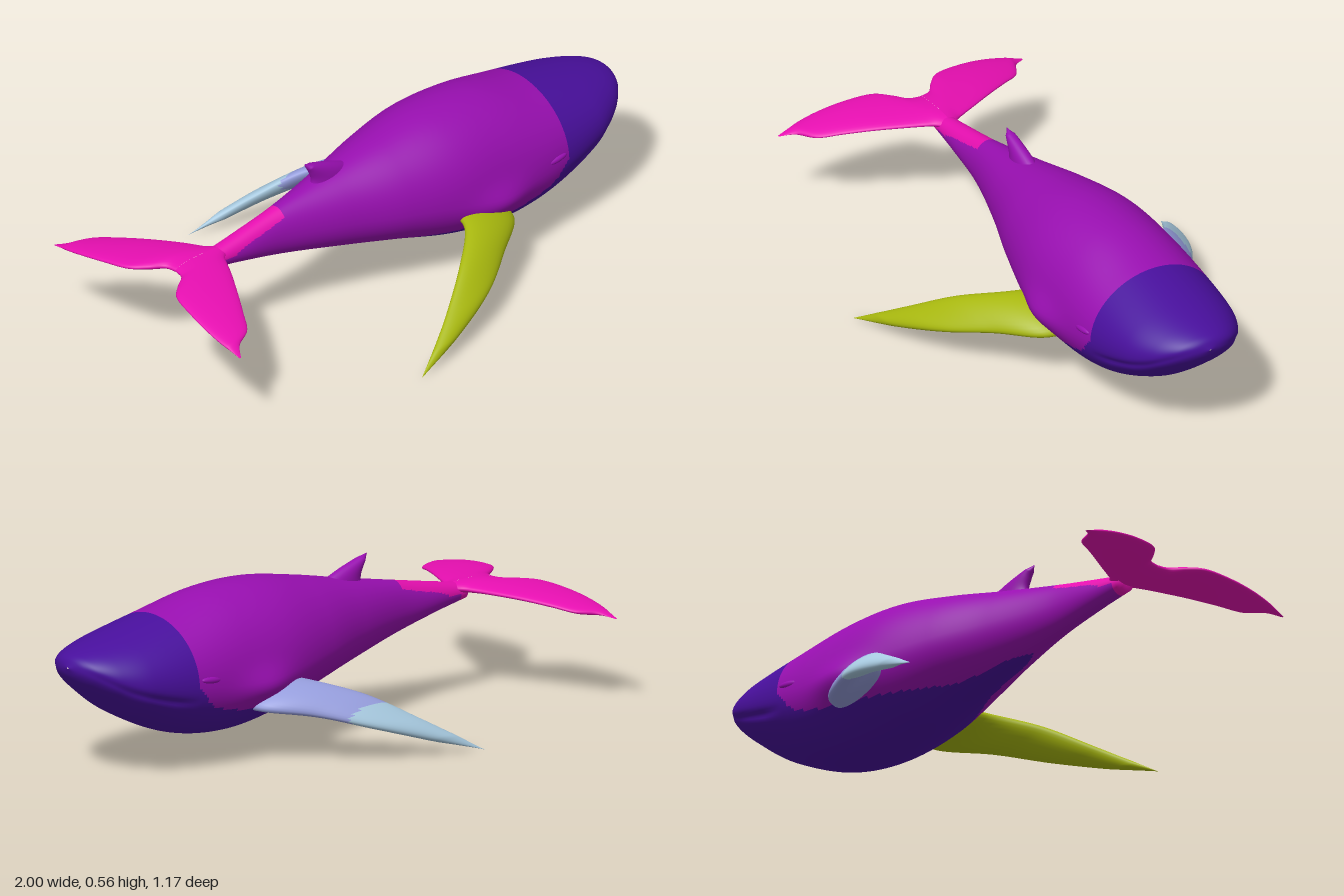
import * as THREE from 'three';

const paint = (name, color) => Object.assign(new THREE.MeshStandardMaterial({ color }), { name });
const V = (x, y, z) => new THREE.Vector3(x, y, z);

// Smooth interpolation through rows [x, a, b, ...]; returns [a, b, ...] at x
function sample(rows, x) {
  const n = rows.length;
  let i = 0;
  while (i < n - 2 && x > rows[i + 1][0]) i++;
  const p = rows[i], q = rows[i + 1], o = rows[Math.max(i - 1, 0)], r = rows[Math.min(i + 2, n - 1)];
  const h = q[0] - p[0], t = Math.min(Math.max((x - p[0]) / h, 0), 1);
  return p.slice(1).map((_, k) => {
    const c = k + 1;
    const m0 = (q[c] - o[c]) / (q[0] - o[0]) * h, m1 = (r[c] - p[c]) / (r[0] - p[0]) * h;
    const t2 = t * t, t3 = t2 * t;
    return (2 * t3 - 3 * t2 + 1) * p[c] + (t3 - 2 * t2 + t) * m0 + (3 * t2 - 2 * t3) * q[c] + (t3 - t2) * m1;
  });
}

// Skin closed rings; pick(centre) gives the material index of each quad
function loft(name, rings, materials, pick = () => 0) {
  const pts = rings.flat(), n = rings[0].length;
  const lists = materials.map(() => []);
  let volume = 0;
  for (let i = 0; i < rings.length - 1; i++) {
    for (let j = 0; j < n; j++) {
      const k = (j + 1) % n;
      const a = i * n + j, b = a + n, c = (i + 1) * n + k, d = i * n + k;
      const mid = V(0, 0, 0);
      for (const v of [a, b, c, d]) mid.addScaledVector(pts[v], 0.25);
      lists[pick(mid)].push(a, b, c, a, c, d);
      const axis = V(0, 0, 0);
      for (const v of rings[i]) axis.addScaledVector(v, 1 / n);
      volume += pts[c].clone().sub(pts[a]).cross(pts[d].clone().sub(pts[b])).dot(mid.sub(axis));
    }
  }
  const geo = new THREE.BufferGeometry().setFromPoints(pts);
  let start = 0;
  const index = [];
  lists.forEach((list, m) => {
    geo.addGroup(start, list.length, m);
    start += list.length;
    for (let t = 0; t < list.length; t += 3) {
      if (volume > 0) index.push(list[t], list[t + 1], list[t + 2]);
      else index.push(list[t], list[t + 2], list[t + 1]);
    }
  });
  geo.setIndex(index);
  geo.computeVertexNormals();
  const mesh = new THREE.Mesh(geo, materials);
  mesh.name = name;
  return mesh;
}

// Lens-shaped fin between a leading and a trailing edge
function fin(name, lead, trail, thick, materials, pick) {
  const L = new THREE.CatmullRomCurve3(lead), T = new THREE.CatmullRomCurve3(trail);
  const steps = 60, sides = 28, rings = [];
  const middle = u => L.getPoint(u).add(T.getPoint(u)).multiplyScalar(0.5);
  let normal = V(0, 1, 0);
  for (let i = 0; i <= steps; i++) {
    const u = i / steps, c = middle(u);
    const half = L.getPoint(u).sub(c);
    const span = middle(Math.min(u + 0.02, 1)).sub(middle(Math.max(u - 0.02, 0)));
    const cross = half.clone().cross(span);
    if (cross.length() > 1e-5) normal = cross.normalize();
    const t = thick * Math.sqrt(1 - u * 0.95) * Math.min(1, (1 - u) * 6);
    rings.push(Array.from({ length: sides }, (_, j) => {
      const a = j / sides * Math.PI * 2;
      return c.clone().addScaledVector(half, Math.cos(a)).addScaledVector(normal, t * Math.sin(a));
    }));
  }
  return loft(name, rings, materials, pick);
}

export function createModel() {
  const group = new THREE.Group();
  const purple = paint('purple', 0x980fb0), indigo = paint('indigo', 0x480f9c);
  const pink = paint('pink', 0xe80fb2), olive = paint('olive', 0xa8b80e);
  const lilac = paint('lilac', 0x959ddc), paleBlue = paint('pale blue', 0xa6c8de);

  // Body: x, top, bottom, height of widest point, half width
  const profile = [
    [-0.72, 0.38, 0.325, 0.352, 0.033],
    [-0.6, 0.403, 0.302, 0.352, 0.043],
    [-0.42, 0.44, 0.262, 0.345, 0.062],
    [-0.2, 0.486, 0.21, 0.335, 0.122],
    [0, 0.53, 0.165, 0.32, 0.19],
    [0.2, 0.563, 0.112, 0.3, 0.24],
    [0.4, 0.56, 0.083, 0.288, 0.25],
    [0.6, 0.52, 0.11, 0.3, 0.244],
    [0.8, 0.478, 0.2, 0.33, 0.212],
    [0.9, 0.455, 0.275, 0.355, 0.165],
    [0.96, 0.436, 0.328, 0.38, 0.11],
    [0.987, 0.42, 0.362, 0.39, 0.06],
    [1, 0.394, 0.39, 0.392, 0.004],
  ];
  const mouth = [[0.6, 0.25], [0.72, 0.27], [0.86, 0.315], [0.94, 0.36], [1, 0.4]];
  const gauss = v => Math.exp(-v * v);
  const rows = 160, sides = 120, rings = [];
  for (let i = 0; i <= rows; i++) {
    const x = -0.72 + 1.72 * (1 - Math.pow(1 - i / rows, 1.4));
    const [top, bottom, cy, w] = sample(profile, x);
    const [lip] = sample(mouth, x);
    const fade = Math.min(1, Math.max(0, (x - 0.62) / 0.1));
    rings.push(Array.from({ length: sides }, (_, j) => {
      const a = j / sides * Math.PI * 2, s = Math.sin(a), c = Math.cos(a);
      const y = cy + s * (s > 0 ? top - cy : cy - bottom);
      const groove = 1 - 0.035 * fade * gauss((y - lip) / 0.012);
      const shoulder = 0.03 * gauss((x - 0.34) / 0.11) * gauss((y - 0.265) / 0.06);
      return V(x, y, w * c * groove + Math.sign(c) * shoulder * Math.min(1, Math.abs(c) * 2));
    }));
  }
  // Close the tail end
  rings.unshift(rings[0].map(() => V(-0.72, 0.352, 0)));
  const belly = [[-0.45, 0.255], [-0.2, 0.218], [0, 0.185], [0.4, 0.195], [0.56, 0.23], [0.63, 0.3]];
  group.add(loft('body', rings, [purple, indigo, pink], p => {
    if (p.x > 0.63 || (p.x > -0.42 && p.y < sample(belly, p.x)[0])) return 1;
    if (p.x < -0.69 || (p.x < -0.42 && p.y > 0.352 && Math.abs(p.z) < 0.04)) return 2;
    return 0;
  }));

  // Dorsal fin
  group.add(fin('dorsalFin',
    [V(-0.08, 0.47, 0), V(-0.16, 0.507, 0), V(-0.24, 0.535, 0), V(-0.305, 0.553, 0)],
    [V(-0.29, 0.43, 0), V(-0.275, 0.475, 0), V(-0.285, 0.51, 0), V(-0.307, 0.55, 0)],
    0.034, [purple]));

  // Tail flukes: z, leading x, trailing x
  const fluke = [
    [0, -0.62, -0.865], [0.04, -0.685, -0.875], [0.075, -0.705, -0.92], [0.12, -0.728, -0.965],
    [0.22, -0.785, -0.99], [0.31, -0.838, -1], [0.38, -0.883, -1], [0.42, -0.95, -0.995], [0.466, -0.984, -0.99],
  ];
  // Flippers: leading and trailing edges from root to tip
  const lead = [[0.4, 0.195, 0.19], [0.37, 0.19, 0.27], [0.24, 0.168, 0.37], [0.09, 0.125, 0.47], [-0.1, 0.065, 0.54], [-0.305, 0.003, 0.587]];
  const trail = [[0.19, 0.25, 0.17], [0.155, 0.25, 0.27], [0.03, 0.205, 0.39], [-0.12, 0.115, 0.49], [-0.21, 0.06, 0.54], [-0.305, 0.003, 0.587]];

  for (const side of [1, -1]) {
    const label = side > 0 ? 'left' : 'right';
    const edge = k => fluke.map(r => V(r[k], 0.368 - 0.31 * r[0] * r[0], r[0] * side));
    group.add(fin(label + 'Fluke', edge(1), edge(2), 0.022, [pink]));

    const place = list => list.map(([x, y, z]) => V(x, y, z * side));
    const skin = side > 0 ? [olive] : [lilac, paleBlue];
    const pick = side > 0 ? () => 0 : p => (p.z < -0.435 ? 1 : 0);
    group.add(fin(label + 'Flipper', place(lead), place(trail), 0.036, skin, pick));

    // Eyelid fold
    const lid = new THREE.Mesh(new THREE.SphereGeometry(1, 20, 12), purple);
    lid.name = label + 'Eyelid';
    lid.scale.set(0.045, 0.012, 0.012);
    lid.position.set(0.58, 0.325, 0.238 * side);
    lid.rotation.z = 0.12;
    group.add(lid);
  }
  return group;
}
